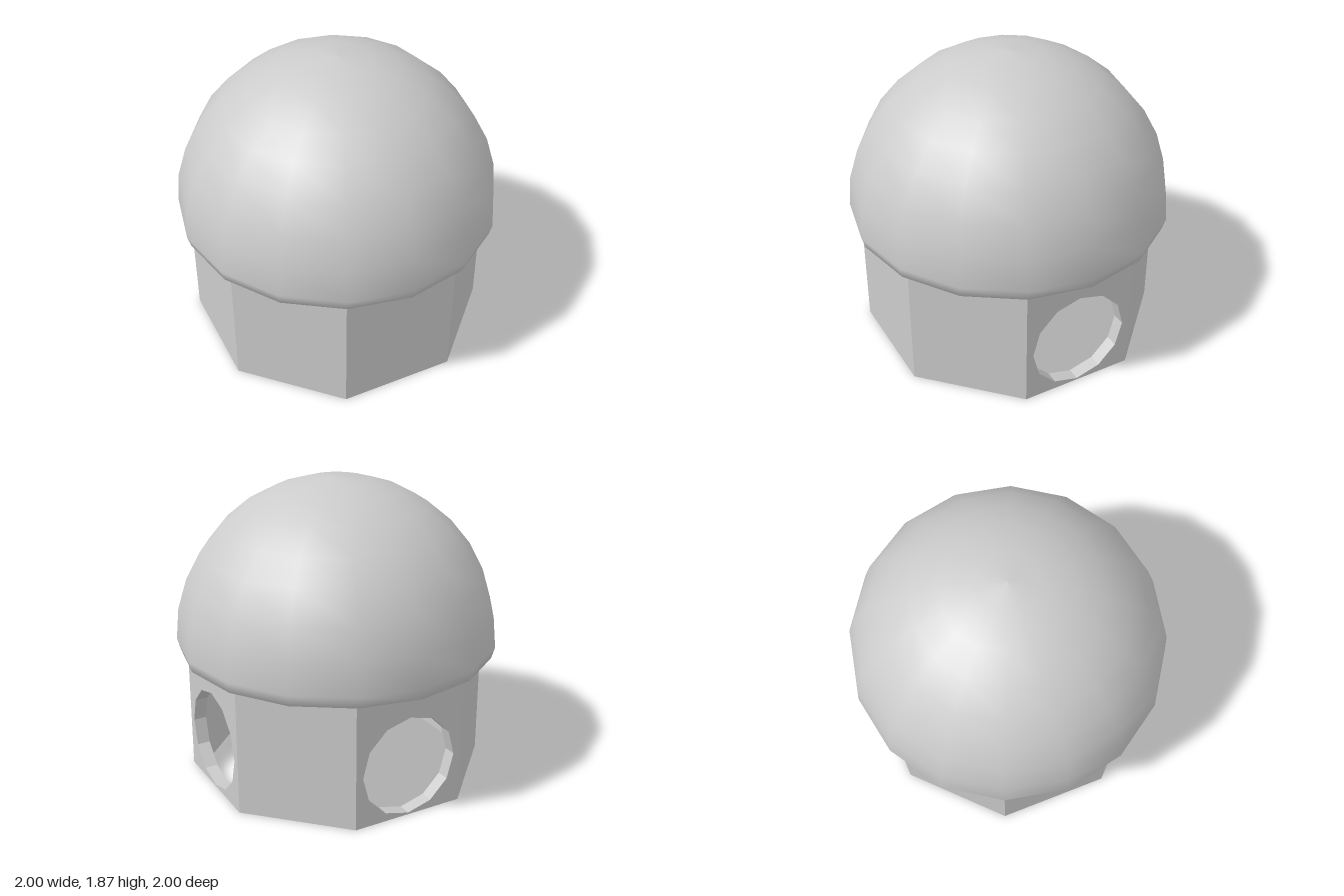
import * as THREE from 'three';

const material = new THREE.MeshStandardMaterial({ color: 0xcccccc });

const SIDES = 8;
const APOTHEM = 0.865;    // centre to outer wall face
const THICKNESS = 0.08;
const WALL_TOP = 0.95;    // walls run up inside the dome
const HALF = APOTHEM * Math.tan(Math.PI / SIDES);

// One mitred wall panel facing +z, optionally with a 12-sided round opening
function wallPanel(name, hasOpening) {
  const shape = new THREE.Shape([
    new THREE.Vector2(-HALF, 0),
    new THREE.Vector2(HALF, 0),
    new THREE.Vector2(HALF, WALL_TOP),
    new THREE.Vector2(-HALF, WALL_TOP),
  ]);
  if (hasOpening) {
    const ring = [];
    for (let i = 0; i < 12; i++) {
      const a = (i / 12) * Math.PI * 2;
      ring.push(new THREE.Vector2(0.313 * Math.sin(a), 0.324 + 0.313 * Math.cos(a)));
    }
    shape.holes.push(new THREE.Path(ring));
  }
  const geometry = new THREE.ExtrudeGeometry(shape, { depth: THICKNESS, bevelEnabled: false });
  geometry.translate(0, 0, APOTHEM - THICKNESS);

  // Narrow the inner edges so that neighbouring panels meet in a mitre
  const pos = geometry.attributes.position;
  for (let i = 0; i < pos.count; i++) {
    if (Math.abs(pos.getX(i)) > HALF - 1e-4) {
      pos.setX(i, (Math.sign(pos.getX(i)) * HALF * pos.getZ(i)) / APOTHEM);
    }
  }
  geometry.computeVertexNormals();
  const mesh = new THREE.Mesh(geometry, material);
  mesh.name = name;
  return mesh;
}

// Hollow hemispherical roof with a rounded rim
function domeRoof() {
  const CENTRE = 0.87, STEPS = 8, INNER = 0.92;
  const arc = (r, i) => {
    const a = (i / STEPS) * (Math.PI / 2);
    return new THREE.Vector2(i === STEPS ? 0 : r * Math.cos(a), CENTRE + r * Math.sin(a));
  };
  const profile = [];
  for (let i = STEPS; i >= 0; i--) profile.push(arc(INNER, i));
  profile.push(
    new THREE.Vector2(0.92, 0.81),
    new THREE.Vector2(0.935, 0.78),
    new THREE.Vector2(0.98, 0.8),
  );
  for (let i = 0; i <= STEPS; i++) profile.push(arc(1, i));
  const mesh = new THREE.Mesh(new THREE.LatheGeometry(profile, 16), material);
  mesh.name = 'domeRoof';
  return mesh;
}

export function createModel() {
  const model = new THREE.Group();
  model.name = 'domedHut';

  // Octagonal wall, with openings on the +x and -z sides
  const walls = new THREE.Group();
  walls.name = 'octagonalWall';
  for (let i = 0; i < SIDES; i++) {
    const hasOpening = i === 2 || i === 4;
    const panel = wallPanel(hasOpening ? 'wallPanelWithOpening' : 'wallPanel', hasOpening);
    panel.rotation.y = (i / SIDES) * Math.PI * 2;
    walls.add(panel);
  }
  model.add(walls, domeRoof());
  return model;
}
